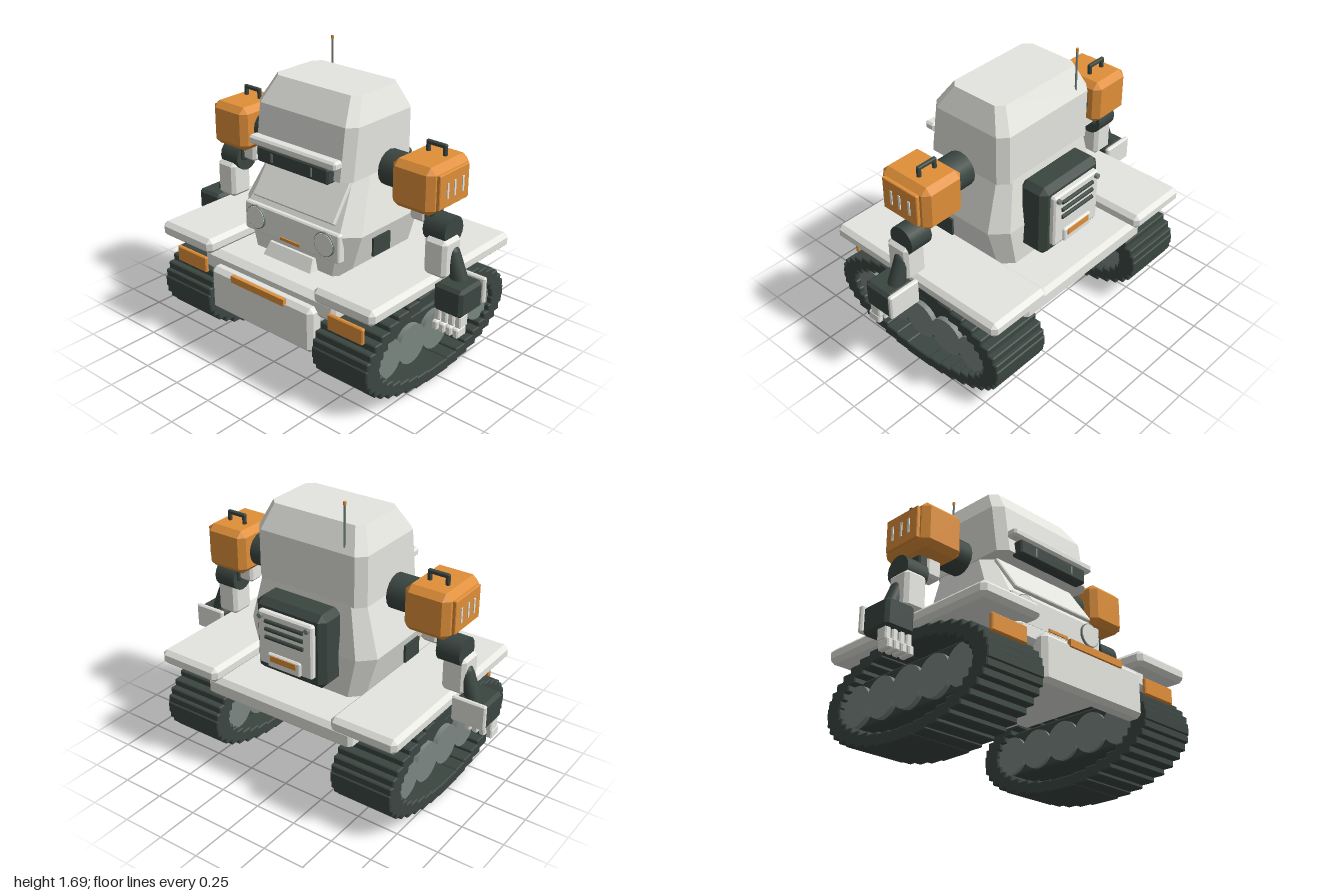
import * as THREE from 'three';
import { ConvexGeometry } from 'three/addons/geometries/ConvexGeometry.js';

const mat = (name, color) => {
  const m = new THREE.MeshStandardMaterial({ color });
  m.name = name;
  return m;
};

export function createModel() {
  const root = new THREE.Group();
  root.name = 'trackedRobot';
  const light = mat('light grey', 0xe5e6e0);
  const dark = mat('dark green grey', 0x3b4641);
  const orange = mat('orange', 0xe08f38);
  const steel = mat('steel grey', 0x7b8681);

  const add = (name, geo, m, x = 0, y = 0, z = 0) => {
    const mesh = new THREE.Mesh(geo, m);
    mesh.name = name;
    mesh.position.set(x, y, z);
    root.add(mesh);
    return mesh;
  };

  // Box given by its extents, with all edges chamfered by c
  const block = (name, m, x0, x1, y0, y1, z0, z1, c = 0) => {
    const h = [Math.abs(x1 - x0) / 2, (y1 - y0) / 2, (z1 - z0) / 2];
    let geo;
    if (c === 0) geo = new THREE.BoxGeometry(h[0] * 2, h[1] * 2, h[2] * 2);
    else {
      const pts = [];
      for (const sx of [-1, 1]) for (const sy of [-1, 1]) for (const sz of [-1, 1])
        for (let a = 0; a < 3; a++) {
          const p = h.map((v, i) => (i === a ? v : v - c));
          pts.push(new THREE.Vector3(sx * p[0], sy * p[1], sz * p[2]));
        }
      geo = new ConvexGeometry(pts);
    }
    return add(name, geo, m, (x0 + x1) / 2, (y0 + y1) / 2, (z0 + z1) / 2);
  };

  // Round bar between two points
  const rod = (name, m, a, b, r, sides = 12, r2 = r) => {
    const va = new THREE.Vector3(...a), vb = new THREE.Vector3(...b);
    const d = vb.clone().sub(va);
    const mesh = add(name, new THREE.CylinderGeometry(r2, r, d.length(), sides), m);
    mesh.position.copy(va).add(vb).multiplyScalar(0.5);
    mesh.quaternion.setFromUnitVectors(new THREE.Vector3(0, 1, 0), d.normalize());
    return mesh;
  };

  // Convex hull through octagonal sections: [y, half width, back z, front z, corner cut]
  const hull = (name, m, sections) => {
    const pts = [];
    for (const [y, w, zb, zf, c] of sections)
      for (const s of [-1, 1])
        for (const [x, z] of [[w, zb + c], [w - c, zb], [w, zf - c], [w - c, zf]])
          pts.push(new THREE.Vector3(s * x, y, z));
    return add(name, new ConvexGeometry(pts), m);
  };

  // Chassis
  hull('chassis', light, [
    [0.46, 0.46, -0.54, 0.53, 0.02],
    [0.485, 0.49, -0.565, 0.55, 0.02],
    [0.55, 0.49, -0.565, 0.545, 0.02],
    [0.58, 0.465, -0.54, 0.505, 0.02],
  ]);
  hull('bellyPlate', light, [[0.445, 0.28, -0.4, 0.4, 0.08], [0.465, 0.29, -0.41, 0.41, 0.08]]);
  block('frontPlate', light, -0.38, 0.38, 0.255, 0.52, 0.5, 0.605, 0.025);
  block('frontPlateStripe', orange, -0.2, 0.2, 0.487, 0.527, 0.595, 0.618);
  hull('frontStep', light, [[0.575, 0.18, 0.28, 0.387, 0.005], [0.65, 0.165, 0.28, 0.345, 0.005]]);

  // Torso
  hull('torso', light, [
    [0.575, 0.35, -0.295, 0.325, 0.07],
    [0.83, 0.425, -0.31, 0.335, 0.085],
    [1.13, 0.345, -0.275, 0.15, 0.06],
  ]);
  const chest = block('chestPanel', light, -0.3, 0.3, 0.862, 1.138, 0.235, 0.26, 0.006);
  chest.rotation.x = -0.6;
  block('lampPanel', light, -0.35, 0.35, 0.68, 0.85, 0.3, 0.35, 0.008);
  block('chestStripe', orange, -0.073, 0.073, 0.693, 0.71, 0.345, 0.357);

  // Head
  hull('head', light, [
    [1.12, 0.355, -0.275, 0.29, 0.05],
    [1.41, 0.355, -0.275, 0.25, 0.05],
    [1.55, 0.3, -0.205, 0.155, 0.04],
  ]);
  block('visor', dark, -0.26, 0.26, 1.105, 1.195, 0.26, 0.335, 0.01);
  block('brow', light, -0.315, 0.315, 1.195, 1.245, 0.275, 0.342, 0.012);
  rod('antenna', steel, [-0.23, 1.38, -0.255], [-0.23, 1.67, -0.255], 0.006, 8);
  rod('antennaTip', orange, [-0.23, 1.67, -0.255], [-0.23, 1.69, -0.255], 0.008, 8);

  // Backpack
  block('backpack', dark, -0.23, 0.23, 0.665, 1.105, -0.445, -0.26, 0.035);
  block('backPanel', light, -0.18, 0.18, 0.735, 1.055, -0.477, -0.43, 0.01);
  for (let i = 0; i < 3; i++) {
    const y = 1.005 - i * 0.048;
    rod('backVent', dark, [-0.125, y, -0.48], [0.125, y, -0.48], 0.012, 8);
  }
  block('backBox', light, -0.11, 0.11, 0.735, 0.82, -0.492, -0.46, 0.008);
  block('backStripe', orange, -0.085, 0.085, 0.775, 0.81, -0.497, -0.49);

  for (const s of [-1, 1]) {
    const sb = (name, m, x0, x1, ...rest) => block(name, m, s * x0, s * x1, ...rest);
    const sr = (name, m, a, b, ...rest) =>
      rod(name, m, [s * a[0], a[1], a[2]], [s * b[0], b[1], b[2]], ...rest);

    // Track: links stepped around an ellipse
    const links = 38;
    for (let i = 0; i < links; i++) {
      const t = (i / links) * Math.PI * 2;
      const y = 0.29 + 0.253 * Math.sin(t), z = 0.56 * Math.cos(t);
      sb('trackLink', dark, 0.392, 0.77, y - 0.034, y + 0.034, z - 0.053, z + 0.053, 0.006);
    }
    sb('trackFrame', dark, 0.43, 0.71, 0.17, 0.435, -0.49, 0.49, 0.01);
    for (let i = -2; i <= 2; i++)
      sr('roadWheel', steel, [0.41, 0.29, i * 0.203], [0.74, 0.29, i * 0.203], 0.114, 24);

    // Fender and marker lamp
    sb('fender', light, 0.385, 0.79, 0.575, 0.665, -0.615, 0.6, 0.025);
    sb('markerLamp', orange, 0.46, 0.7, 0.43, 0.525, 0.542, 0.567, 0.006);

    // Headlamp, visor marks, torso vent, back bolt
    sr('headlampRing', steel, [0.255, 0.775, 0.33], [0.255, 0.775, 0.362], 0.07, 24);
    sr('headlamp', light, [0.255, 0.775, 0.34], [0.255, 0.775, 0.365], 0.065, 24);
    sb('visorMark', steel, 0.138, 0.15, 1.125, 1.175, 0.328, 0.337);
    sb('torsoVent', dark, 0.427, 0.44, 0.692, 0.797, 0.03, 0.17);
    sr('backBolt', steel, [0.155, 1.03, -0.46], [0.155, 1.03, -0.495], 0.015, 10);

    // Shoulder pod
    sr('shoulder', dark, [0.393, 1.145, -0.01], [0.54, 1.145, -0.01], 0.1, 16);
    sb('pod', orange, 0.53, 0.8, 1.022, 1.285, -0.175, 0.17, 0.035);
    sb('podPlate', orange, 0.79, 0.82, 1.06, 1.25, -0.125, 0.125, 0.004);
    for (const z of [-0.07, 0, 0.06])
      sb('podVent', light, 0.815, 0.825, 1.11, 1.195, z - 0.007, z + 0.007);
    for (const x of [0.604, 0.71])
      sb('podHandlePost', dark, x, x + 0.022, 1.27, 1.34, -0.057, -0.034, 0.005);
    sb('podHandleGrip', dark, 0.604, 0.732, 1.323, 1.346, -0.057, -0.034, 0.005);

    // Arm
    sb('neck', light, 0.575, 0.675, 0.92, 1.04, -0.05, 0.05, 0.015);
    sb('armLink', dark, 0.67, 0.73, 0.9, 1.03, -0.05, 0.05, 0.01);
    sr('elbow', dark, [0.69, 0.91, 0], [0.83, 0.91, 0], 0.082, 16);
    sb('upperArm', light, 0.71, 0.85, 0.665, 0.88, -0.05, 0.1, 0.02);
    sr('forearm', dark, [0.9, 0.6, 0.005], [0.83, 0.79, 0.005], 0.05, 14, 0.042);
    add('forearmCap', new THREE.SphereGeometry(0.042, 14, 10), dark, s * 0.83, 0.79, 0.005);

    // Hand and fingers
    sb('hand', dark, 0.81, 0.99, 0.5, 0.66, -0.06, 0.135, 0.018);
    sb('handPlate', light, 0.8, 1.0, 0.52, 0.67, -0.082, -0.052, 0.008);
    for (let i = 0; i < 4; i++) {
      const x = 0.83 + i * 0.044;
      sb('fingerBase', light, x - 0.018, x + 0.018, 0.435, 0.51, 0.05, 0.12, 0.007);
      sb('fingerTip', light, x - 0.017, x + 0.017, 0.385, 0.44, 0.06, 0.14, 0.007);
    }
  }
  return root;
}
